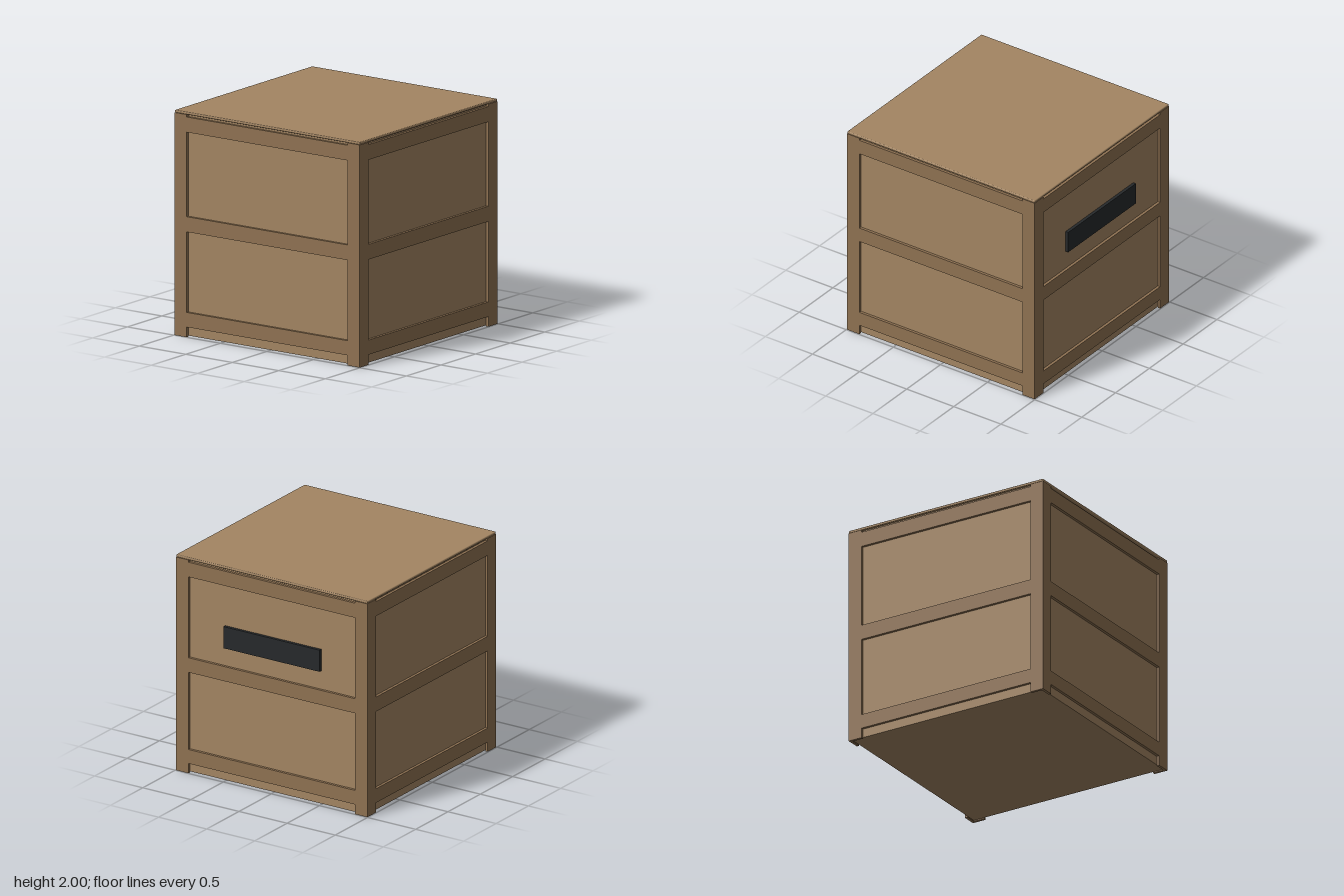
import * as THREE from 'three';
import { RoundedBoxGeometry } from 'three/addons/geometries/RoundedBoxGeometry.js';

const OUT = 0.995;   // outer face of the frame
const CORE = 0.97;   // face of the recessed panels
const POST = 0.865;  // inner edge of the corner posts
const LID = 1.976;   // underside of the lid

export function createModel() {
  const crate = new THREE.Group();
  crate.name = 'crate';
  const panelMat = new THREE.MeshStandardMaterial({ color: 0xa38562 });
  const frameMat = new THREE.MeshStandardMaterial({ color: 0x8f7252 });
  const labelMat = new THREE.MeshStandardMaterial({ color: 0x26292b });

  function add(name, geometry, material, x = 0, y = 0, z = 0, parent = crate) {
    const mesh = new THREE.Mesh(geometry, material);
    mesh.name = name;
    mesh.position.set(x, y, z);
    parent.add(mesh);
    return mesh;
  }

  // Inner body whose sides form the recessed panels
  add('panelBody', new THREE.BoxGeometry(2 * CORE, LID - 0.01, 2 * CORE), panelMat, 0, (LID + 0.01) / 2, 0);

  // Lid with softened edges
  add('lid', new RoundedBoxGeometry(2 * OUT, 2 - LID, 2 * OUT, 2, 0.008), panelMat, 0, (2 + LID) / 2, 0);

  // L-shaped corner posts, slightly longer than the body so they act as feet
  const angle = new THREE.Shape([
    [OUT, OUT], [POST, OUT], [POST, CORE], [CORE, CORE], [CORE, POST], [OUT, POST],
  ].map(([x, y]) => new THREE.Vector2(x, y)));
  const postGeo = new THREE.ExtrudeGeometry(angle, { depth: LID, bevelEnabled: false });
  postGeo.rotateX(-Math.PI / 2);

  // Each side: one post and three horizontal rails [bottom, top]
  const rails = { bottomRail: [0.09, 0.22], middleRail: [0.935, 1.07], topRail: [1.82, 1.955] };
  ['front', 'left', 'back', 'right'].forEach((side, i) => {
    const frame = new THREE.Group();
    frame.name = side + 'Frame';
    frame.rotation.y = i * Math.PI / 2;
    add('cornerPost', postGeo, frameMat, 0, 0, 0, frame);
    for (const [name, [y0, y1]] of Object.entries(rails)) {
      const geo = new THREE.BoxGeometry(2 * POST, y1 - y0, OUT - CORE);
      add(name, geo, frameMat, 0, (y0 + y1) / 2, (OUT + CORE) / 2, frame);
    }
    crate.add(frame);
  });

  // Dark plate on the upper back panel
  add('backPlate', new THREE.BoxGeometry(1, 0.2, 0.03), labelMat, 0, 1.34, -0.983);

  return crate;
}
